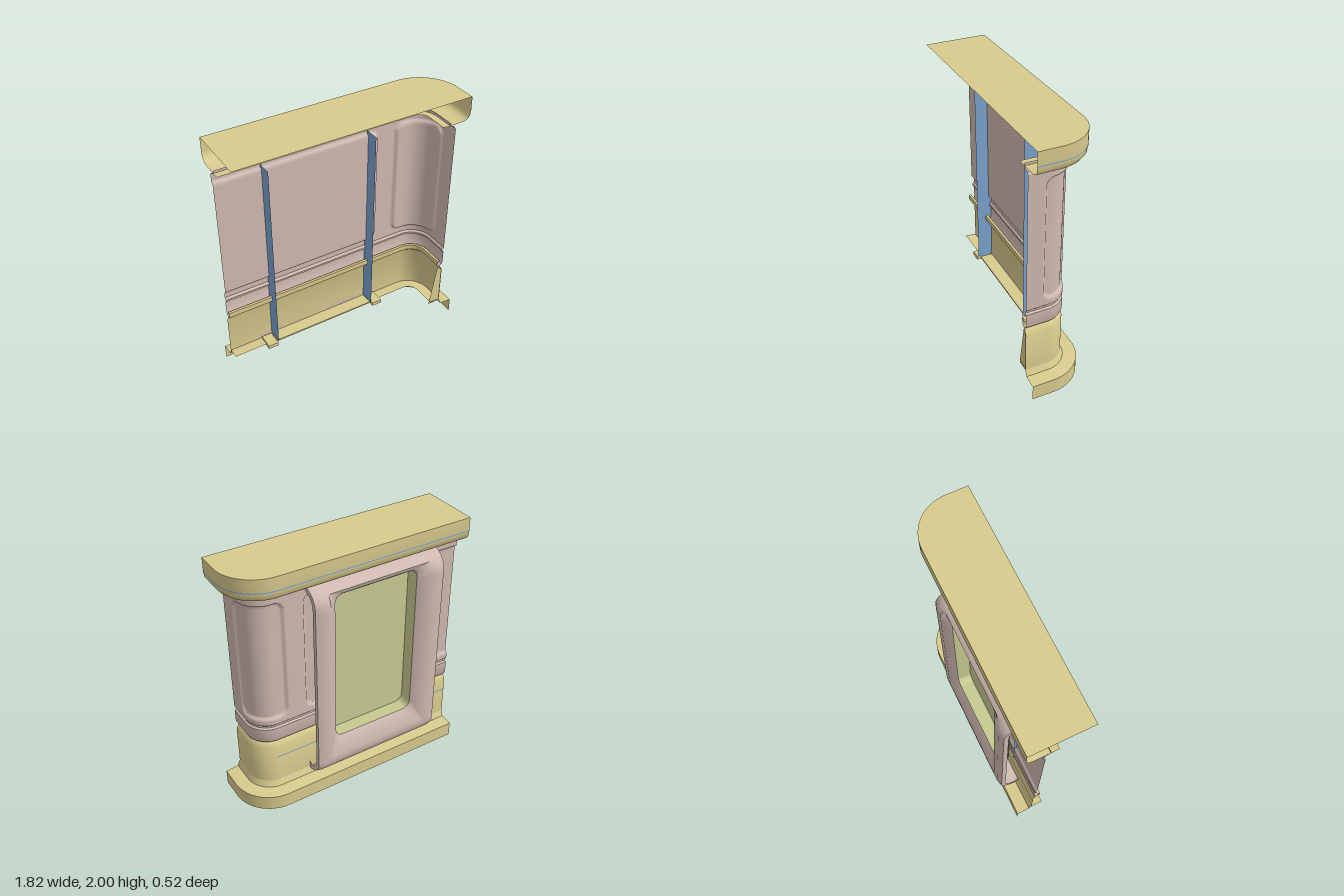
import * as THREE from 'three';
import { toCreasedNormals } from 'three/addons/utils/BufferGeometryUtils.js';

const paint = (color) => new THREE.MeshStandardMaterial({ color, side: THREE.DoubleSide });
const STONE = paint(0xd9cb8e), WALL = paint(0xd0bab1), PANE = paint(0xc8ca92), BLUE = paint(0x7ba3cf);
const DARK = paint(0x40505f);

// Plan of the wall: a straight run, a quarter-round corner and a short return
const X0 = -0.91, CX = 0.61, CZ = 0.09, R = 0.18, Z1 = 0.26;
const RUN = CX - X0, ARC = R * Math.PI / 2, TOTAL = RUN + ARC + Z1 - CZ;

// Point at distance s along the plan, pushed outwards by d, at height y
function onPlan(s, d, y) {
  if (s <= RUN) return new THREE.Vector3(X0 + s, y, CZ - R - d);
  if (s >= RUN + ARC) return new THREE.Vector3(CX + R + d, y, CZ + s - RUN - ARC);
  const a = (s - RUN) / R;
  return new THREE.Vector3(CX + Math.sin(a) * (R + d), y, CZ - Math.cos(a) * (R + d));
}

// Surface through rows of points
function skin(rows, crease = 0.6) {
  const n = rows[0].length, index = [];
  for (let i = 0; i < rows.length - 1; i++)
    for (let j = 0; j < n - 1; j++) {
      const a = i * n + j, b = a + 1, c = a + n, e = c + 1;
      index.push(a, c, b, b, c, e);
    }
  const g = new THREE.BufferGeometry().setFromPoints(rows.flat());
  g.setIndex(index);
  return toCreasedNormals(g, crease);
}

// Moulding: profile of [outward, height] swept along the plan
function sweep(profile, from = 0, to = TOTAL) {
  const stations = [from, to];
  for (let i = 0; i <= 16; i++) stations.push(RUN + ARC * i / 16);
  const s = stations.filter((v) => v >= from && v <= to).sort((a, b) => a - b);
  return skin(profile.map(([d, y]) => s.map((v) => onPlan(v, d, y))));
}

// Signed distance to a rounded rectangle
function roundedBox(s, y, s0, s1, y0, y1, r) {
  const dx = Math.abs(s - (s0 + s1) / 2) - (s1 - s0) / 2 + r;
  const dy = Math.abs(y - (y0 + y1) / 2) - (y1 - y0) / 2 + r;
  return Math.hypot(Math.max(dx, 0), Math.max(dy, 0)) + Math.min(Math.max(dx, dy), 0) - r;
}

// Wall field with two sunken panels, one flat and one round the corner
function panelledWall() {
  const rows = [], NS = 220, NY = 120, y0 = 0.72, y1 = 1.78;
  for (let i = 0; i <= NY; i++) {
    const y = y0 + (y1 - y0) * i / NY, row = [];
    for (let j = 0; j <= NS; j++) {
      const s = TOTAL * j / NS;
      const dist = Math.min(
        roundedBox(s, y, -1, 1.285, 0.765, 1.73, 0.07),
        roundedBox(s, y, 1.43, 1.845, 0.765, 1.73, 0.07));
      row.push(onPlan(s, -0.02 * THREE.MathUtils.smoothstep(-dist, 0, 0.018), y));
    }
    rows.push(row);
  }
  return skin(rows, 0.9);
}

// Rounded rectangle outline, finer towards its corners; z follows a rule of y
function outline(cx, half, y0, y1, r, z) {
  const pts = [], cy = (y0 + y1) / 2, hy = (y1 - y0) / 2;
  const corners = [[1, 1], [-1, 1], [-1, -1], [1, -1]];
  corners.forEach(([sx, sy], k) => {
    for (let i = 0; i <= 6; i++) {
      const a = (k + i / 6) * Math.PI / 2;
      pts.push([cx + sx * (half - r) + r * Math.cos(a), cy + sy * (hy - r) + r * Math.sin(a)]);
    }
    const [nx, ny] = corners[(k + 1) % 4], a = (k + 1) * Math.PI / 2;
    const end = [cx + nx * (half - r) + r * Math.cos(a), cy + ny * (hy - r) + r * Math.sin(a)];
    const start = pts[pts.length - 1];
    for (let i = 1; i < 40; i++) {
      const t = (1 - Math.cos(Math.PI * i / 40)) / 2;
      pts.push([0, 1].map((q) => start[q] + (end[q] - start[q]) * t));
    }
  });
  pts.push(pts[0]);
  return pts.map(([x, y]) => new THREE.Vector3(x, y, z(y)));
}

// Depth of a plate whose top and bottom curl back to the wall
const curl = (y0, y1, front, bend) => (y) => {
  const t = Math.min(1, Math.max(0, 1 - Math.min(y - y0, y1 - y) / bend));
  return front + (-0.09 - front) * (1 - Math.sqrt(Math.max(0, 1 - t * t)));
};

export function createModel() {
  const model = new THREE.Group();
  const add = (name, geometry, material, parent = model) => {
    const m = new THREE.Mesh(geometry, material);
    m.name = name;
    parent.add(m);
    return m;
  };
  const box = (name, size, pos, material) =>
    add(name, new THREE.BoxGeometry(...size), material).position.set(...pos);
  // Upright sheet facing sideways
  const sheet = (name, x, z0, z1, y0, y1, material, parent) =>
    add(name, new THREE.PlaneGeometry(z1 - z0, y1 - y0).rotateY(Math.PI / 2), material, parent)
      .position.set(x, (y0 + y1) / 2, (z0 + z1) / 2);

  // Stone base, closed at its end by a tapering plate
  add('plinth', sweep([[0.12, 0], [0.12, 0.12], [0.02, 0.13], [0, 0.18], [-0.09, 0.19]]), STONE);
  add('base', sweep([[0, 0.16], [0, 0.5], [-0.02, 0.54], [-0.05, 0.56], [-0.05, 0.6], [-0.03, 0.6]]), STONE);
  add('baseSeam', sweep([[0.002, 0.403], [0.002, 0.412]], 0, 1.55), BLUE);
  const plate = new THREE.Shape([[0.69, 0.17], [0.79, 0.17], [0.79, 0.5], [0.75, 0.54]]
    .map(([x, y]) => new THREE.Vector2(x, y)));
  add('baseEndPlate', new THREE.ShapeGeometry(plate).translate(0, 0, 0.255), STONE);

  // Wall with its lower band and neck
  add('lowerBand', sweep([[-0.04, 0.55], [-0.01, 0.56], [0, 0.58], [0, 0.68],
    [-0.015, 0.69], [-0.015, 0.705], [0, 0.72]]), WALL);
  add('wall', panelledWall(), WALL);
  add('wallNeck', sweep([[0, 1.78], [-0.01, 1.8], [-0.05, 1.82], [-0.05, 1.84]]), WALL);

  // Cornice shell and its flat top
  add('cornice', sweep([[-0.11, 1.825], [-0.05, 1.82], [0.07, 1.822], [0.1, 1.835],
    [0.115, 1.855], [0.12, 1.89], [0.12, 2]]), STONE);
  add('corniceSeam', sweep([[0.122, 1.895], [0.122, 1.903]]), BLUE);
  const top = new THREE.Shape();
  top.moveTo(X0, -Z1);
  top.lineTo(CX + 0.3, -Z1);
  top.lineTo(CX + 0.3, -CZ);
  top.absarc(CX, -CZ, 0.3, 0, Math.PI / 2, false);
  top.lineTo(X0, 0.21);
  const topGeo = new THREE.ShapeGeometry(top, 24).rotateX(-Math.PI / 2).translate(0, 2, 0);
  add('corniceTop', topGeo, STONE);

  // Window: curled surround, open at its sides, with a reveal and pane
  const win = new THREE.Group();
  win.name = 'window';
  model.add(win);
  const face = curl(0.18, 1.815, -0.26, 0.14);
  const cx = -0.155, gx = -0.14;
  const bands = [0, 0.006, 0.015, 0.03, 0.05, 0.08, 0.11].map((inset) => {
    const bevel = 0.015 * Math.max(0, 1 - inset / 0.05);
    return outline(cx, 0.525 - inset, 0.18 + inset * 1.6, 1.815 - inset * 0.5, 0.01,
      (y) => Math.min(-0.09, face(y) + bevel));
  });
  add('windowSurround', skin([
    outline(cx, 0.525, 0.23, 1.77, 0.01, curl(0.23, 1.77, -0.21, 0.1)),
    ...bands,
    outline(gx, 0.35, 0.47, 1.735, 0.06, () => -0.22),
    outline(gx, 0.335, 0.49, 1.72, 0.06, () => -0.205),
  ], 0.7), WALL, win);
  const reveal = [-0.205, -0.1].map((z) => outline(gx, 0.335, 0.49, 1.72, 0.06, () => z));
  add('windowReveal', skin(reveal), PANE, win);
  const pane = new THREE.Shape(reveal[1].slice(0, -1).map((p) => new THREE.Vector2(p.x, p.y)));
  add('windowPane', new THREE.ShapeGeometry(pane).translate(0, 0, -0.1), PANE, win);

  // Sheets behind the surround, boards inside the wall, and a ledge below
  for (const side of [-1, 1]) {
    const x = gx + side * 0.42;
    sheet('surroundLining', gx + side * 0.345, -0.205, -0.09, 0.24, 1.76, DARK, win);
    sheet('windowSideBoard', x, -0.09, 0.03, 0.2, 1.75, BLUE, win);
    box('ledgeBracket', [0.08, 0.03, 0.12], [x + side * 0.05, 0.185, -0.02], STONE);
  }
  box('windowLedge', [0.84, 0.012, 0.1], [gx, 0.19, -0.04], STONE);
  return model;
}
